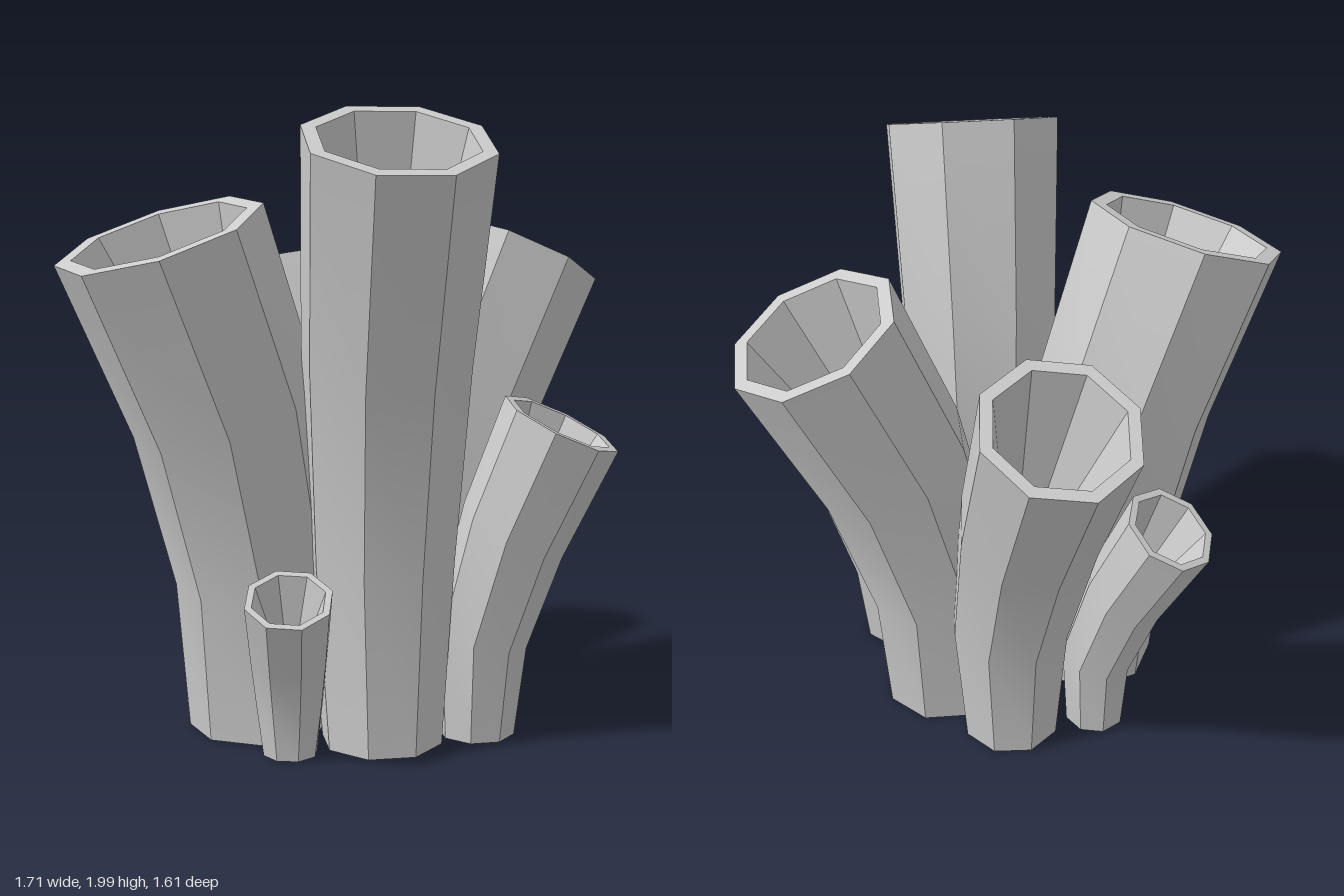
import * as THREE from 'three';
import { toCreasedNormals } from 'three/addons/utils/BufferGeometryUtils.js';

const SIDES = 8;
const UP = new THREE.Vector3(0, 1, 0);

// One flaring, leaning tube: closed base, bent wall, flat lip and a funnel-shaped hollow.
// base [x, z], top [x, y, z], r0/r1 radii, tilt of the rim (deg), turn of the octagon (deg),
// sway: share of the sideways lean reached at the two middle rings
function tubeGeometry({ base, top, r0, r1, tilt, turn, sway }) {
  const dx = top[0] - base[0], dz = top[2] - base[1];
  const len = Math.hypot(dx, dz);
  const radius = (f) => r0 + (r1 - r0) * f;

  // [share of height, share of lean, radius, share of tilt]
  const profile = [
    [0, 0, 0, 0],
    [0, 0, r0, 0],
    [0.32, sway[0], radius(0.42), 0.55],
    [0.66, sway[1], radius(0.75), 1.1],
    [1, 1, r1, 1],
    [1, 1, r1 * 0.84, 1],
    [0.6, sway[1] * 0.85, r1 * 0.28, 1],
    [0.6, sway[1] * 0.85, 0, 1],
  ];

  const positions = [], index = [];
  profile.forEach(([h, lean, r, share], j) => {
    const a = THREE.MathUtils.degToRad(tilt * share);
    const dir = new THREE.Vector3(
      Math.sin(a) * dx / len, Math.cos(a), Math.sin(a) * dz / len);
    const q = new THREE.Quaternion().setFromUnitVectors(UP, dir);
    const centre = new THREE.Vector3(base[0] + dx * lean, top[1] * h, base[1] + dz * lean);
    for (let i = 0; i < SIDES; i++) {
      const ang = THREE.MathUtils.degToRad(turn) + (i / SIDES) * Math.PI * 2;
      const p = new THREE.Vector3(Math.cos(ang) * r, 0, Math.sin(ang) * r)
        .applyQuaternion(q).add(centre);
      positions.push(p.x, p.y, p.z);

      // join this ring to the next one
      if (j === profile.length - 1) continue;
      const v = j * SIDES + i, w = j * SIDES + (i + 1) % SIDES;
      if (profile[j + 1][2] > 0) index.push(v, v + SIDES, w + SIDES);
      if (r > 0) index.push(v, w + SIDES, w);
    }
  });
  const geometry = new THREE.BufferGeometry();
  geometry.setAttribute('position', new THREE.Float32BufferAttribute(positions, 3));
  geometry.setIndex(index);
  // smooth along each facet, sharp between facets
  return toCreasedNormals(geometry, THREE.MathUtils.degToRad(30));
}

export function createModel() {
  const group = new THREE.Group();
  group.name = 'tubeCluster';
  const material = new THREE.MeshStandardMaterial({ color: 0xcccccc });

  const tubes = [
    // four large tubes
    { name: 'frontRightTube', base: [-0.28, 0.17], top: [-0.54, 1.61, 0.42], r0: 0.23, r1: 0.33, tilt: 20, turn: 35, sway: [0, 0.35] },
    { name: 'tallFrontTube', base: [0.13, 0.3], top: [0.19, 1.89, 0.53], r0: 0.195, r1: 0.295, tilt: 22, turn: 8, sway: [-0.1, 0.23] },
    { name: 'backLeftTube', base: [0.21, -0.09], top: [0.545, 1.53, -0.3], r0: 0.205, r1: 0.285, tilt: 25, turn: 9, sway: [0.03, 0.4] },
    { name: 'backTube', base: [-0.055, -0.26], top: [-0.24, 1.43, -0.57], r0: 0.165, r1: 0.255, tilt: 25, turn: 12, sway: [-0.02, 0.4] },
    // three small tubes
    { name: 'smallLeftTube', base: [0.43, 0.2], top: [0.685, 1.02, 0.235], r0: 0.123, r1: 0.195, tilt: 25, turn: 7, sway: [0.04, 0.43] },
    { name: 'smallRightTube', base: [-0.34, -0.18], top: [-0.565, 0.89, -0.27], r0: 0.102, r1: 0.157, tilt: 30, turn: 22, sway: [0, 0.4] },
    { name: 'smallFrontTube', base: [-0.145, 0.447], top: [-0.13, 0.53, 0.59], r0: 0.087, r1: 0.138, tilt: 27, turn: 22, sway: [0.02, 0.4] },
  ];

  for (const tube of tubes) {
    const mesh = new THREE.Mesh(tubeGeometry(tube), material);
    mesh.name = tube.name;
    group.add(mesh);
  }
  return group;
}
